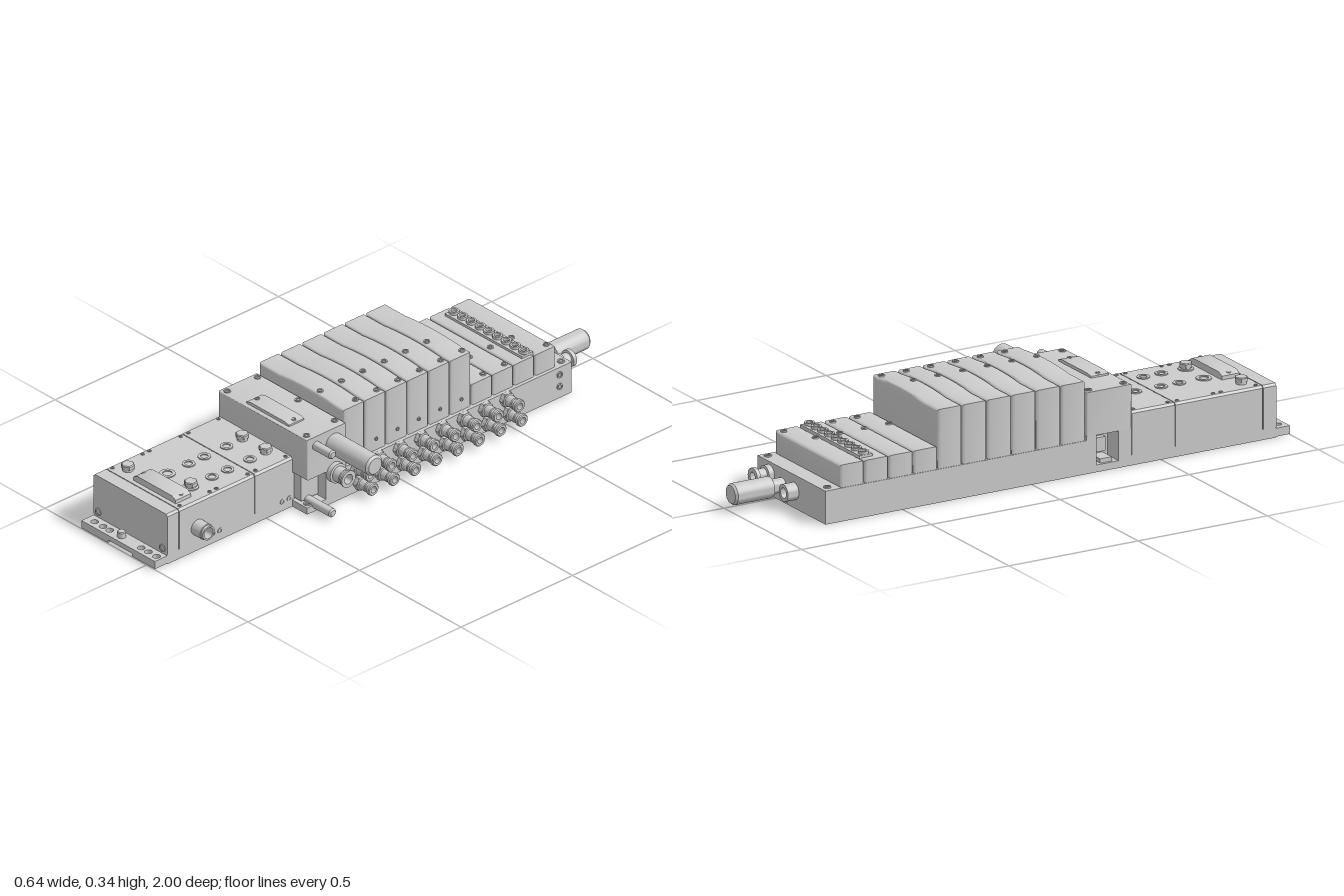
import * as THREE from 'three';
import { toCreasedNormals } from 'three/addons/utils/BufferGeometryUtils.js';

const mat = new THREE.MeshStandardMaterial({ color: 0xcccccc, side: THREE.DoubleSide });

export function createModel() {
  const root = new THREE.Group();

  function add(name, geo, x = 0, y = 0, z = 0) {
    const m = new THREE.Mesh(geo, mat);
    m.name = name;
    m.position.set(x, y, z);
    root.add(m);
    return m;
  }
  // Box given by its limits
  function box(name, x0, x1, y0, y1, z0, z1) {
    return add(name, new THREE.BoxGeometry(x1 - x0, y1 - y0, z1 - z0),
      (x0 + x1) / 2, (y0 + y1) / 2, (z0 + z1) / 2);
  }
  // Profile in x/y swept from z0 to z1, with optional bevelled ends
  function sweep(name, shape, z0, z1, b = 0) {
    const geo = new THREE.ExtrudeGeometry(shape, {
      depth: z1 - z0 - 2 * b, bevelEnabled: b > 0, bevelThickness: b,
      bevelSize: b, bevelOffset: -b, bevelSegments: 3, curveSegments: 16,
    });
    return add(name, toCreasedNormals(geo, 0.6), 0, 0, z0 + b);
  }
  const poly = (pts) => new THREE.Shape(pts.map(([x, y]) => new THREE.Vector2(x, y)));
  // Turned part: [radius, distance] profile pointing along +x, +y or -z
  function turned(name, axis, profile, x, y, z, sides = 24) {
    const geo = new THREE.LatheGeometry(profile.map(([r, d]) => new THREE.Vector2(r, d)), sides);
    const m = add(name, toCreasedNormals(geo, 0.6), x, y, z);
    if (axis === 'x') m.rotation.z = -Math.PI / 2;
    if (axis === '-z') m.rotation.x = -Math.PI / 2;
    return m;
  }
  const rod = (r, l, c = 0.005) => [[0, 0], [r, 0], [r, l - c], [r - c, l], [0, l]];
  const socket = (r, l) => [[r, 0], [r, l], [r * 0.6, l], [r * 0.6, l * 0.2], [0, l * 0.2]];
  // Small socket screw standing on a top surface
  const screw = (x, y, z, r = 0.011) => turned('screw', 'y', socket(r, 0.005), x, y, z, 14);

  // Manifold base with a thin seam underneath
  sweep('manifoldBase', poly([[-0.32, 0], [-0.075, 0], [-0.075, 0.006], [-0.067, 0.006], [-0.067, 0],
    [0.115, 0], [0.115, 0.117], [-0.32, 0.117]]), -0.8, 0.21);
  for (const x of [-0.29, 0.09]) screw(x, 0.117, -0.775, 0.013);
  for (const y of [0.045, 0.09]) turned('sideScrew', 'x', socket(0.012, 0.005), 0.115, y, -0.745, 14);

  // Valve bodies: six tall with domed caps, four low
  function valve(name, z0, z1, top, dome) {
    const s = new THREE.Shape();
    s.moveTo(-0.318, 0.115);
    s.lineTo(0.102, 0.115);
    s.lineTo(0.102, top);
    s.lineTo(0.07, top);
    if (dome) s.quadraticCurveTo(-0.075, top + 0.017, -0.22, top);
    s.lineTo(-0.318, top);
    s.closePath();
    sweep(name, s, z0, z1, 0.009);
    const z = (z0 + z1) / 2;
    screw(-0.035, top + (dome ? 0.007 : 0), z1 - 0.018);
    screw(0.077, top, z0 + 0.02);
  }
  const pitch = 0.0955;
  for (let i = 0; i < 6; i++) {
    const z1 = 0.208 - i * pitch;
    valve('tallValve', z1 - pitch + 0.002, z1, 0.325, true);
    turned('valvePort', 'x', socket(0.007, 0.004), 0.102, 0.16, z1 - pitch / 2, 12);
  }
  for (let i = 0; i < 4; i++) {
    const z1 = -0.365 - i * 0.0945;
    valve('lowValve', z1 - 0.0925, z1, 0.197, false);
  }

  // Terminal strip across the low valves
  box('terminalStrip', -0.29, 0.09, 0.19, 0.206, -0.65, -0.6);
  for (let i = 0; i < 9; i++)
    turned('terminal', 'y', socket(0.018, 0.012), -0.272 + i * 0.043, 0.204, -0.625, 16);

  // Two rows of push-in tube fittings
  const fitting = [[0, 0], [0.025, 0], [0.025, 0.018], [0.02, 0.02], [0.02, 0.045], [0.017, 0.047],
    [0.017, 0.058], [0.023, 0.06], [0.023, 0.07], [0.02, 0.073], [0.012, 0.073], [0.012, 0.03], [0, 0.03]];
  const hexNut = [[0, 0], [0.028, 0], [0.028, 0.014], [0, 0.014]];
  for (let i = 0; i < 8; i++)
    for (const [y, z] of [[0.095, 0.165], [0.035, 0.152]]) {
      turned('fittingNut', 'x', hexNut, 0.115, y, z - i * pitch, 6);
      turned('tubeFitting', 'x', fitting, 0.115, y, z - i * pitch, 20);
    }

  // Supply block, with side recess and cable socket on its right
  sweep('supplyBlock', poly([[-0.322, 0.13], [0.115, 0.13], [0.115, 0.285], [-0.322, 0.285]]), 0.211, 0.385, 0.004);
  box('supplyCore', -0.25, 0.04, 0, 0.13, 0.21, 0.385);
  box('supplySide', 0.04, 0.115, 0, 0.13, 0.21, 0.3);
  box('supplyStep', 0.04, 0.075, 0.03, 0.13, 0.3, 0.375);
  box('mountingFoot', 0.04, 0.115, 0, 0.025, 0.3, 0.385);
  screw(0.095, 0.025, 0.365, 0.013);
  box('recessFloor', -0.32, -0.25, 0, 0.025, 0.21, 0.385);
  box('recessRear', -0.32, -0.25, 0.025, 0.13, 0.21, 0.25);
  box('recessFront', -0.32, -0.25, 0.025, 0.13, 0.335, 0.385);
  box('recessSocket', -0.27, -0.24, 0.05, 0.1, 0.27, 0.315);
  box('recessLatch', -0.31, -0.25, 0.025, 0.04, 0.27, 0.315);
  for (const [x, z] of [[-0.3, 0.23], [-0.1, 0.23], [0.08, 0.23], [-0.3, 0.365], [0.09, 0.365]])
    screw(x, 0.284, z, 0.012);

  // Raised cover plates on the supply block and the electronics module
  const cover = (y, z, h) => {
    sweep('coverPlate', poly([[-0.2, y], [0.008, y], [0.008, y + h * 0.6], [-0.012, y + h],
      [-0.18, y + h], [-0.2, y + h * 0.6]]), z - 0.034, z + 0.034);
    for (const x of [-0.185, -0.007]) screw(x, y + h * 0.7, z, 0.009);
  };
  cover(0.284, 0.335, 0.012);
  cover(0.189, 0.842, 0.024);

  // Silencers and ports of the supply block
  turned('largeSilencer', 'x', rod(0.037, 0.204, 0.008), 0.115, 0.228, 0.265, 32);
  turned('pilotSilencer', 'x', rod(0.016, 0.085), 0.115, 0.25, 0.345);
  turned('lowerSilencer', 'x', rod(0.016, 0.13), 0.07, 0.026, 0.345);
  turned('supplyPort', 'x', [[0, 0], [0.036, 0], [0.036, 0.018], [0.028, 0.02], [0.028, 0.05], [0.025, 0.052],
    [0.025, 0.062], [0.031, 0.063], [0.031, 0.07], [0.018, 0.07], [0.018, 0.03], [0, 0.03]], 0.115, 0.118, 0.262);

  // Rear connections
  turned('rearSilencer', '-z', [[0, 0], [0.025, 0], [0.025, 0.045], [0.037, 0.05], [0.037, 0.192],
    [0.031, 0.2], [0, 0.2]], -0.043, 0.06, -0.8, 32);
  turned('rearFitting', '-z', [[0, 0], [0.032, 0], [0.032, 0.02], [0.023, 0.022], [0.023, 0.05],
    [0.031, 0.052], [0.031, 0.066], [0.016, 0.066], [0.016, 0.03], [0, 0.03]], 0.038, 0.075, -0.8);
  turned('rearSocket', '-z', socket(0.03, 0.042), -0.12, 0.06, -0.8);

  // Electronics module with a channel along its underside
  sweep('electronicsBase', poly([[-0.32, 0], [-0.19, 0], [-0.19, 0.014], [-0.07, 0.014], [-0.07, 0],
    [0.042, 0], [0.042, 0.037], [-0.32, 0.037]]), 0.385, 0.945);
  const body = poly([[-0.322, 0.037], [0.043, 0.037], [0.043, 0.182], [0.036, 0.19], [-0.315, 0.19], [-0.322, 0.182]]);
  for (const [z0, z1] of [[0.385, 0.552], [0.555, 0.892], [0.895, 0.945]]) sweep('electronicsBody', body, z0, z1);
  box('moduleCore', -0.315, 0.036, 0.03, 0.186, 0.39, 0.94);
  for (const z of [0.4, 0.535, 0.57, 0.71, 0.74, 0.875])
    for (const x of [-0.305, 0.025]) screw(x, 0.188, z, 0.007);
  for (const z of [0.5, 0.6, 0.67, 0.765])
    for (const x of [-0.155, -0.04]) {
      const r = z > 0.7 ? 0.027 : 0.022;
      turned('topSocket', 'y', socket(r, 0.007), x, 0.187, z);
    }
  const cap = (x, z) => {
    turned('capNeck', 'y', rod(0.018, 0.014, 0.001), x, 0.187, z);
    turned('portCap', 'y', rod(0.024, 0.015, 0.003), x, 0.2, z, 6);
  };
  for (const [x, z] of [[-0.155, 0.43], [-0.04, 0.43], [-0.262, 0.845], [-0.04, 0.765]]) cap(x, z);
  turned('sideConnector', 'x', [[0, 0], [0.029, 0], [0.029, 0.045], [0.026, 0.046], [0.026, 0.056],
    [0.02, 0.056], [0.02, 0.015], [0, 0.015]], 0.042, 0.09, 0.81);
  for (const z of [0.4, 0.43, 0.71, 0.74])
    turned('sideHole', 'x', socket(0.01, 0.003), 0.042, 0.037, z, 12);
  for (const x of [-0.298, 0.018])
    turned('frontScrew', '-z', socket(0.014, 0.003), x, 0.053, 0.945, 16).rotation.x = Math.PI / 2;

  // Drilled end foot, laid flat by a quarter turn
  const hole = (x, z, r) => new THREE.Path().absarc(x, z, r, 0, Math.PI * 2, true);
  const foot = (x0, x1, holes, y0, y1) => {
    const s = poly([[x0, -1], [x1, -1], [x1, -0.945], [x0, -0.945]]);
    for (const x of holes) s.holes.push(hole(x, -0.973, 0.013));
    const geo = new THREE.ExtrudeGeometry(s, { depth: y1 - y0, bevelEnabled: false });
    geo.rotateX(-Math.PI / 2);
    add('endFoot', toCreasedNormals(geo, 0.6), 0, y0, 0);
  };
  foot(-0.32, -0.19, [-0.285, -0.243, -0.21], 0.003, 0.032);
  foot(-0.07, 0.042, [-0.055, -0.02, 0.02], 0.003, 0.032);
  box('footBridge', -0.19, -0.07, 0.014, 0.032, 0.945, 1);
  turned('earthScrew', 'y', rod(0.015, 0.022, 0.003), -0.153, 0.032, 0.972, 16);

  return root;
}
